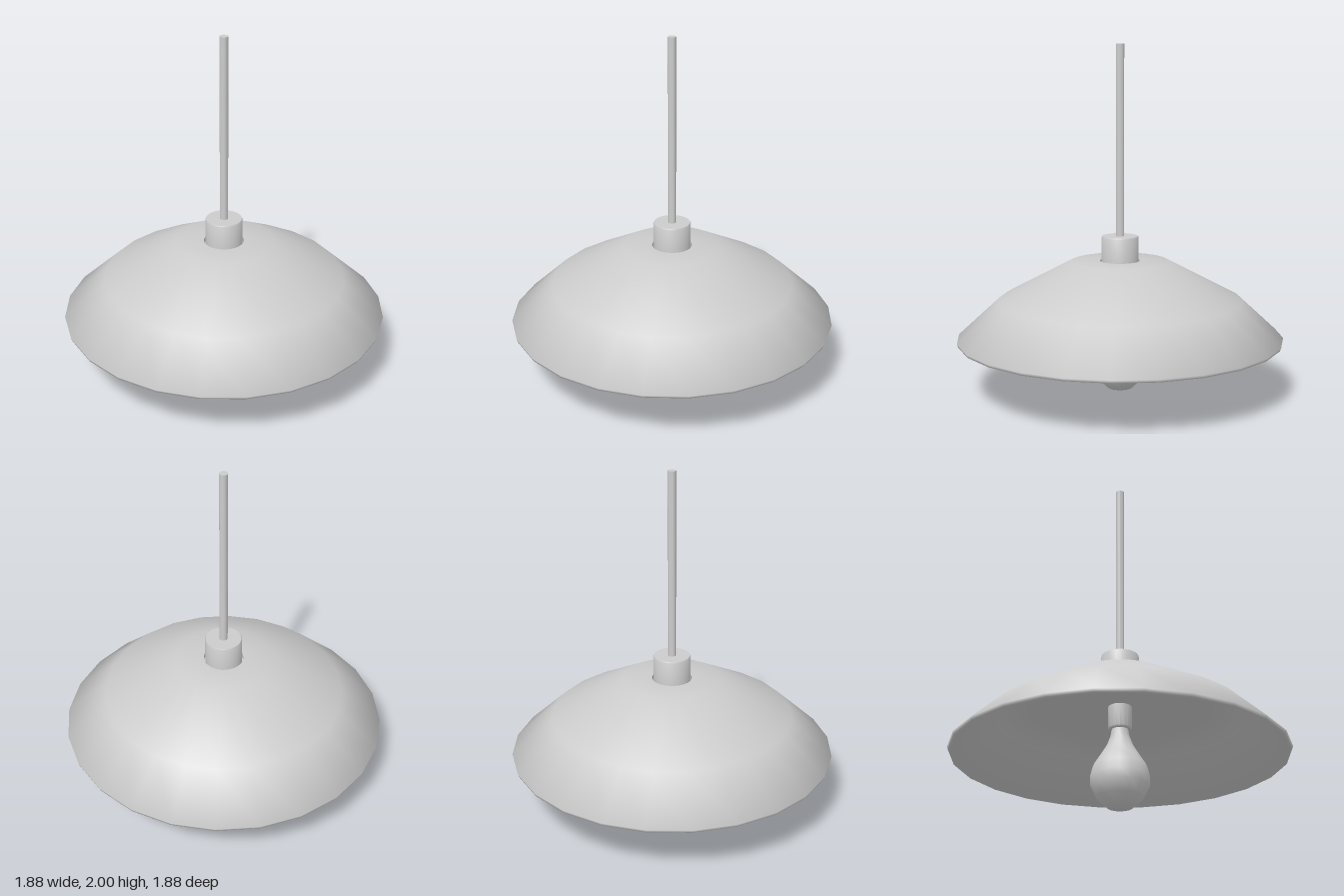
import * as THREE from 'three';
import { toCreasedNormals } from 'three/addons/utils/BufferGeometryUtils.js';

const material = new THREE.MeshStandardMaterial({ color: 0xcccccc });

// Turned part: profile is [radius, height] pairs, outer wall running upwards
function turned(name, profile, sides, crease = 0.7) {
  const points = profile.map(([r, y]) => new THREE.Vector2(r, y));
  const geometry = toCreasedNormals(new THREE.LatheGeometry(points, sides), crease);
  const mesh = new THREE.Mesh(geometry, material);
  mesh.name = name;
  return mesh;
}

export function createModel() {
  const lamp = new THREE.Group();
  lamp.name = 'pendantLamp';

  // Shade: flat inner ceiling, inner wall down, rim, outer wall up, groove around the cap
  lamp.add(turned('shade', [
    [0, 0.6], [0.52, 0.6], [0.69, 0.53], [0.92, 0.305],
    [0.934, 0.307], [0.94, 0.324], [0.70, 0.545], [0.28, 0.768],
    [0.116, 0.77], [0.116, 0.74], [0, 0.74],
  ], 24, 1.2));

  // Cap set into the groove
  lamp.add(turned('cap', [
    [0, 0.735], [0.107, 0.735], [0.107, 0.905], [0.103, 0.912], [0, 0.912],
  ], 32, 0.6));

  // Hanging rod
  lamp.add(turned('rod', [[0, 0.90], [0.024, 0.90], [0.024, 2], [0, 2]], 16));

  // Bulb glass, narrowing to its neck
  lamp.add(turned('bulb', [
    [0, 0], [0.07, 0.02], [0.13, 0.075], [0.162, 0.14], [0.164, 0.195],
    [0.148, 0.255], [0.112, 0.31], [0.075, 0.37], [0.052, 0.43], [0.045, 0.48],
  ], 16, 1));

  // Screw base of the bulb, fixed to the ceiling of the shade
  lamp.add(turned('bulbBase', [
    [0, 0.465], [0.06, 0.465], [0.066, 0.472], [0.066, 0.605], [0, 0.605],
  ], 16));

  return lamp;
}
